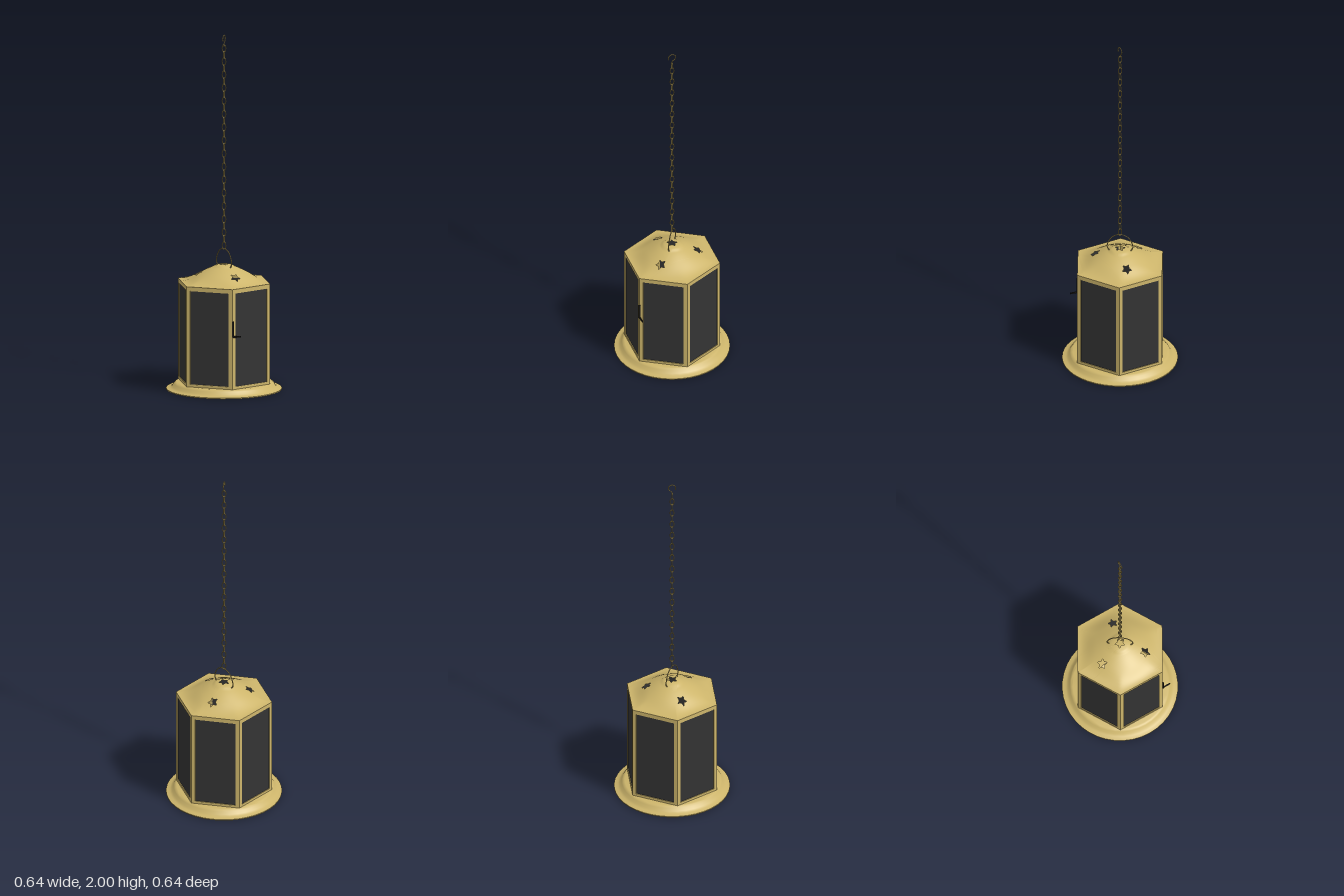
import * as THREE from 'three';
import { mergeVertices, toCreasedNormals } from 'three/addons/utils/BufferGeometryUtils.js';

const HEX = 0.272, APOTHEM = HEX * Math.cos(Math.PI / 6);
const V = (x, y, z) => new THREE.Vector3(x, y, z);

// Five-pointed star outline
function starPoints(cx, cy, radius, turn) {
  return Array.from({ length: 10 }, (_, i) => {
    const a = turn + i * Math.PI / 5, r = i % 2 ? radius * 0.5 : radius;
    return new THREE.Vector2(cx + r * Math.cos(a), cy + r * Math.sin(a));
  });
}

// Dome height: round in the middle, hexagonal at the eaves
function roofHeight(x, z) {
  const r = Math.hypot(x, z);
  let hex = 0;
  for (let k = 0; k < 6; k++) {
    const a = Math.PI / 6 + k * Math.PI / 3;
    hex = Math.max(hex, (x * Math.cos(a) + z * Math.sin(a)) / APOTHEM);
  }
  const dome = (d) => 0.61 + 0.0465 * (1 + Math.cos(Math.PI * Math.min(d / HEX, 1)));
  const blend = THREE.MathUtils.smoothstep(hex, 0.55, 1);
  const cap = 0.005 * (1 - THREE.MathUtils.smoothstep(r, 0.045, 0.068));
  return THREE.MathUtils.lerp(dome(r), dome(hex * HEX), blend) + cap;
}

// Split each triangle into four, several times
function subdivide(geometry, times) {
  const p = geometry.toNonIndexed().attributes.position;
  let tris = [];
  for (let i = 0; i < p.count; i += 3) {
    tris.push([0, 1, 2].map((j) => new THREE.Vector3().fromBufferAttribute(p, i + j)));
  }
  for (let n = 0; n < times; n++) {
    tris = tris.flatMap(([a, b, c]) => {
      const ab = a.clone().lerp(b, 0.5), bc = b.clone().lerp(c, 0.5), ca = c.clone().lerp(a, 0.5);
      return [[a, ab, ca], [ab, b, bc], [ca, bc, c], [ab, bc, ca]];
    });
  }
  return tris.flat();
}

function roofGeometry() {
  const outline = [];
  for (let k = 0; k < 6; k++) {
    const a = k * Math.PI / 3, b = a + Math.PI / 3;
    for (let i = 0; i < 6; i++) {
      const t = i / 6;
      outline.push(new THREE.Vector2(
        HEX * THREE.MathUtils.lerp(Math.cos(a), Math.cos(b), t),
        HEX * THREE.MathUtils.lerp(Math.sin(a), Math.sin(b), t)));
    }
  }
  const shape = new THREE.Shape(outline);
  shape.holes.push(new THREE.Path(starPoints(0, 0, 0.03, Math.PI / 2)));
  for (let k = 0; k < 3; k++) {
    const a = THREE.MathUtils.degToRad(76 + 120 * k);
    shape.holes.push(new THREE.Path(starPoints(0.143 * Math.cos(a), 0.143 * Math.sin(a), 0.028, a)));
  }
  const points = subdivide(new THREE.ShapeGeometry(shape), 4)
    .map((p) => V(p.x, roofHeight(p.x, -p.y), -p.y));
  const geometry = mergeVertices(new THREE.BufferGeometry().setFromPoints(points), 1e-5);
  geometry.computeVertexNormals();
  return geometry;
}

function lathe(profile) {
  const pts = profile.map(([x, y]) => new THREE.Vector2(x, y));
  return toCreasedNormals(new THREE.LatheGeometry(pts, 40), 0.5);
}

export function createModel() {
  const gold = new THREE.MeshStandardMaterial({ color: 0xcdb56b, side: THREE.DoubleSide });
  const dark = new THREE.MeshStandardMaterial({ color: 0x333333 });
  const black = new THREE.MeshStandardMaterial({ color: 0x1e1c18 });
  gold.name = 'gold metal';
  dark.name = 'dark glass';
  black.name = 'black latch';

  const model = new THREE.Group();
  model.name = 'hangingLantern';
  const add = (name, geometry, material, x = 0, y = 0, z = 0, parent = model) => {
    const mesh = new THREE.Mesh(geometry, material);
    mesh.name = name;
    mesh.position.set(x, y, z);
    parent.add(mesh);
    return mesh;
  };

  // Base: flared dish, inner tray, underside and screw
  add('base', lathe([[0.28, 0.006], [0.282, 0], [0.322, 0.002], [0.322, 0.008], [0.3, 0.012],
    [0.288, 0.02], [0.279, 0.034], [0.271, 0.042], [0.262, 0.045], [0.145, 0.045],
    [0.105, 0.012], [0, 0.012]]), gold);
  add('baseUnderside', new THREE.CircleGeometry(0.281, 40).rotateX(Math.PI / 2), gold, 0, 0.006, 0);
  add('baseScrew', new THREE.CylinderGeometry(0.018, 0.018, 0.005, 6), gold, 0, 0.0035, 0);

  // Six framed glass sides
  const bottom = 0.045, top = 0.608, half = HEX / 2;
  const frameShape = new THREE.Shape([
    new THREE.Vector2(-half, bottom), new THREE.Vector2(half, bottom),
    new THREE.Vector2(half, top), new THREE.Vector2(-half, top)]);
  frameShape.holes.push(new THREE.Path([
    new THREE.Vector2(-0.114, 0.06), new THREE.Vector2(-0.114, 0.586),
    new THREE.Vector2(0.114, 0.586), new THREE.Vector2(0.114, 0.06)]));
  const frame = new THREE.ExtrudeGeometry(frameShape, { depth: 0.008, bevelEnabled: false });
  const glass = new THREE.BoxGeometry(0.234, 0.532, 0.004);
  for (let k = 0; k < 6; k++) {
    const side = new THREE.Group();
    side.name = 'side' + (k + 1);
    side.rotation.y = k * Math.PI / 3;
    model.add(side);
    add('frame', frame, gold, 0, 0, APOTHEM - 0.008, side);
    add('glass', glass, dark, 0, 0.323, APOTHEM - 0.006, side);
  }

  // Door latch at the front left corner
  add('latchPlate', new THREE.BoxGeometry(0.006, 0.09, 0.008), black, 0.139, 0.385, 0.235);
  add('latchHandle', new THREE.BoxGeometry(0.048, 0.008, 0.006), black, 0.161, 0.345, 0.233)
    .rotation.z = 0.1;

  // Roof with pierced stars and a thin eaves band
  add('roof', roofGeometry(), gold);
  add('eaves', new THREE.CylinderGeometry(HEX, HEX, 0.008, 6, 1, true, Math.PI / 6)
    .toNonIndexed(), gold, 0, 0.606, 0).geometry.computeVertexNormals();

  // Wire bail
  const bailPath = new THREE.CatmullRomCurve3([
    V(-0.058, 0.69, 0), V(-0.071, 0.712, 0), V(-0.065, 0.745, 0), V(-0.04, 0.78, 0), V(0, 0.794, 0),
    V(0.04, 0.78, 0), V(0.065, 0.745, 0), V(0.071, 0.712, 0), V(0.058, 0.69, 0)]);
  add('bail', new THREE.TubeGeometry(bailPath, 40, 0.003, 8), gold).rotation.y = -0.59;

  // Chain of alternating links
  const linkPath = new THREE.CatmullRomCurve3([
    V(0, 0.022, 0), V(0.0085, 0.014, 0), V(0.0085, -0.014, 0),
    V(0, -0.022, 0), V(-0.0085, -0.014, 0), V(-0.0085, 0.014, 0)], true);
  const link = new THREE.TubeGeometry(linkPath, 24, 0.0028, 6, true);
  const chain = new THREE.Group();
  chain.name = 'chain';
  model.add(chain);
  for (let i = 0; i < 31; i++) {
    add('link' + (i + 1), link, gold, 0, 0.81 + i * 0.0371, 0, chain)
      .rotation.y = (i % 2) * Math.PI / 2;
  }

  // Hook
  const hookPath = new THREE.CatmullRomCurve3([
    V(0, 1.965, 0.02), V(0, 1.985, 0.019), V(0, 1.997, 0), V(0, 1.985, -0.019),
    V(0, 1.965, -0.017), V(0, 1.948, 0), V(0, 1.932, 0.002)]);
  add('hook', new THREE.TubeGeometry(hookPath, 32, 0.003, 8), gold);
  return model;
}
